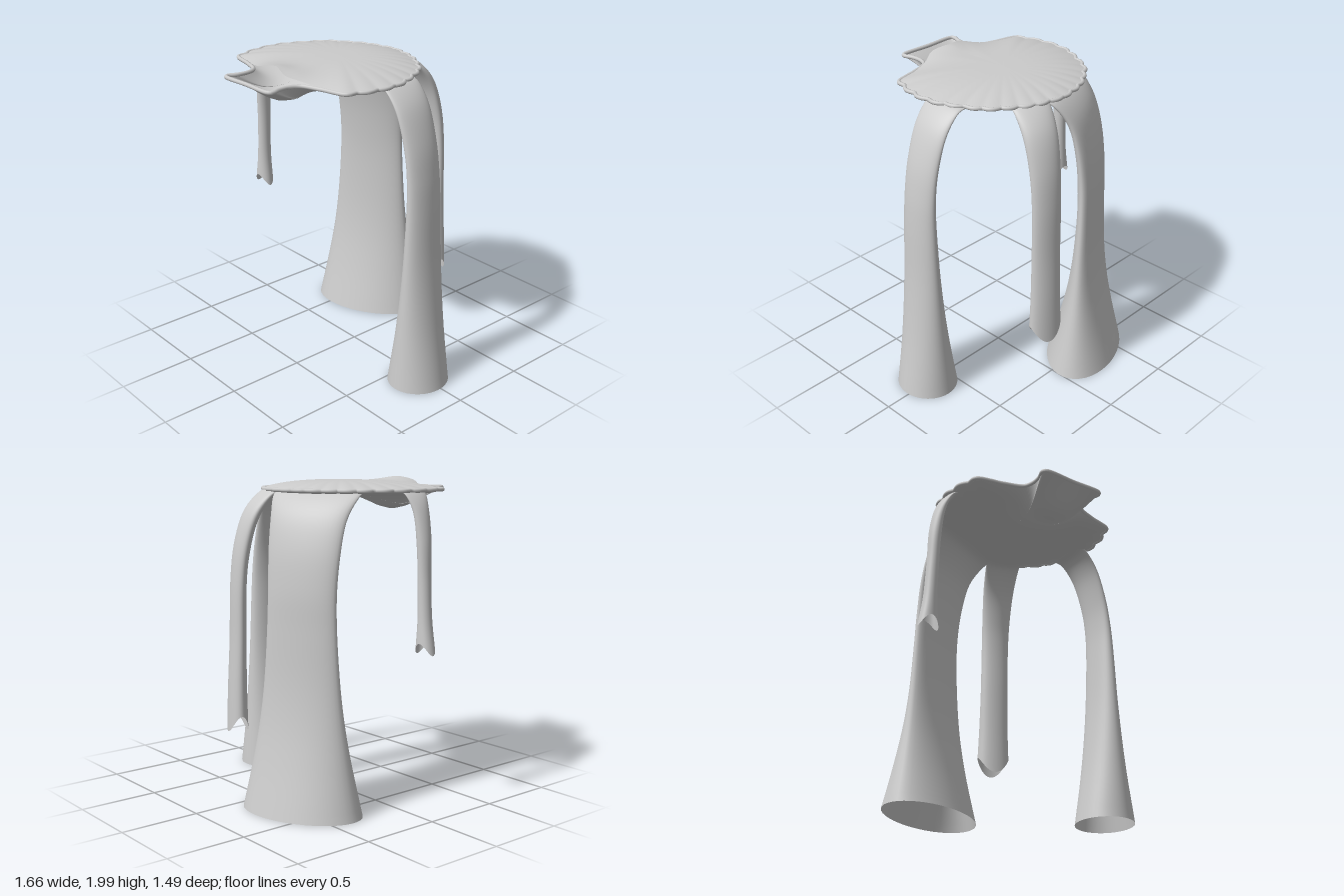
import * as THREE from 'three';

const material = new THREE.MeshStandardMaterial({ color: 0xcccccc, side: THREE.DoubleSide });
const CX = -0.1, CZ = 0.05; // centre of the basin

// Skin a list of closed rings (arrays of Vector3 of equal length)
function loft(name, rings) {
  const n = rings[0].length, index = [];
  for (let r = 0; r < rings.length - 1; r++) {
    for (let i = 0; i < n; i++) {
      const j = (i + 1) % n, a = r * n + i, b = r * n + j;
      index.push(a, a + n, b, b, a + n, b + n);
    }
  }
  const geometry = new THREE.BufferGeometry().setFromPoints(rings.flat());
  geometry.setIndex(index);
  geometry.computeVertexNormals();
  const mesh = new THREE.Mesh(geometry, material);
  mesh.name = name;
  return mesh;
}

// Mirrored plan outline with a scalloped edge, from half-outline points [x, z]
function outline(half) {
  const curve = new THREE.CatmullRomCurve3(half.map(([x, z]) => new THREE.Vector3(x, 0, z)));
  const side = curve.getSpacedPoints(120).map((p) => {
    const angle = Math.atan2(p.x, CZ - p.z);
    const fade = 1 - THREE.MathUtils.smoothstep(p.z, 0.4, 0.47);
    const k = 1 + fade * (0.035 * Math.abs(Math.sin(angle * 15)) - 0.015);
    return new THREE.Vector3(p.x * k, 0, CZ + (p.z - CZ) * k);
  });
  const other = side.slice(1, -1).reverse().map((p) => new THREE.Vector3(-p.x, 0, p.z));
  return [...side, ...other];
}

// Radial sheet filling an outline; height(x, z, t) with t = 0 centre, 1 edge
function sheet(name, edge, height) {
  const rings = [];
  for (let r = 0; r <= 14; r++) {
    const t = Math.max(0.001, Math.sin((r / 14) * Math.PI / 2));
    rings.push(edge.map((p) => {
      const x = p.x * t, z = CZ + (p.z - CZ) * t;
      return new THREE.Vector3(x + CX, height(x, z, t), z);
    }));
  }
  return loft(name, rings);
}

// Hollow stream; rows are [outer distance, outer y, inner distance, inner y, half width]
function stream(name, [ox, oz], [dx, dz], rows, notch = 0) {
  const outer = new THREE.CatmullRomCurve3(rows.map((r) => new THREE.Vector3(r[0], r[1], r[4])), false, 'catmullrom');
  const inner = new THREE.CatmullRomCurve3(rows.map((r) => new THREE.Vector3(r[2], r[3], r[4])), false, 'catmullrom');
  const endY = rows[rows.length - 1][1];
  const rings = [];
  for (let s = 0; s <= 48; s++) {
    const o = outer.getPoint(s / 48), i = inner.getPoint(s / 48), ring = [];
    for (let k = 0; k < 40; k++) {
      const angle = (k / 40) * Math.PI * 2, c = Math.cos(angle), w = Math.sin(angle) * o.z;
      const d = (o.x + i.x) / 2 + c * (o.x - i.x) / 2;
      let y = (o.y + i.y) / 2 + c * (o.y - i.y) / 2;
      // torn end: the two sides are cut higher than the faces
      y += notch * Math.sin(angle) ** 2 * Math.max(0, 1 - (y - endY) / 0.3);
      ring.push(new THREE.Vector3(ox + dx * d - dz * w, y, oz + dz * d + dx * w));
    }
    rings.push(ring);
  }
  return loft(name, rings);
}

export function createModel() {
  const group = new THREE.Group();
  group.name = 'fountain';

  // Basin plan: shared rim, then either the spout or the roof's front lip
  const rim = [[0, -0.43], [0.2, -0.38], [0.32, -0.31], [0.43, -0.22], [0.5, -0.1], [0.55, 0],
    [0.575, 0.12], [0.57, 0.24], [0.55, 0.32], [0.5, 0.43]];
  const basinEdge = outline([...rim, [0.36, 0.47], [0.23, 0.52], [0.2, 0.58], [0.2, 0.65],
    [0.22, 0.715], [0.205, 0.735], [0, 0.735]]);
  const roofEdge = outline([...rim, [0.36, 0.465], [0.23, 0.505], [0.13, 0.555], [0.06, 0.54], [0, 0.52]]);

  // Shallow dish that deepens under the spout
  group.add(sheet('basin', basinEdge, (x, z, t) => {
    const bowl = 0.11 * Math.exp(-((x / 0.22) ** 2) - ((z - 0.5) / 0.2) ** 2);
    return 1.92 - (1 - t ** 8) * (0.03 + bowl);
  }));

  // Gently domed cover, raised at the mouth
  group.add(sheet('cover', roofEdge, (x, z, t) => {
    const lip = 0.065 * Math.exp(-((x / 0.2) ** 2)) * THREE.MathUtils.smoothstep(z, 0.25, 0.5);
    return 1.928 + 0.05 * (1 - t ** 3) + lip * t ** 3;
  }));

  // Rounded rim
  const rimPath = new THREE.CatmullRomCurve3(
    basinEdge.map((p) => new THREE.Vector3(p.x + CX, 1.923, p.z)), true);
  const rimMesh = new THREE.Mesh(new THREE.TubeGeometry(rimPath, 360, 0.013, 8, true), material);
  rimMesh.name = 'rim';
  group.add(rimMesh);

  // Wide stream at the back right
  group.add(stream('wideStream', [-0.36, -0.47], [-0.42, -0.908], [
    [-0.3, 1.935, -0.3, 1.9, 0.29], [-0.17, 1.92, -0.21, 1.86, 0.285], [-0.05, 1.8, -0.13, 1.72, 0.25],
    [0.02, 1.6, -0.09, 1.54, 0.235], [0.055, 1.35, -0.07, 1.33, 0.225], [0.065, 1.1, -0.065, 1.1, 0.23],
    [0.08, 0.8, -0.08, 0.8, 0.25], [0.11, 0.55, -0.11, 0.55, 0.28], [0.16, 0.3, -0.16, 0.3, 0.325],
    [0.235, 0, -0.235, 0, 0.388]]));

  // Stream on the left reaching the ground
  group.add(stream('sideStream', [0, 0.02], [1, 0], [
    [0.36, 1.935, 0.36, 1.895, 0.14], [0.46, 1.915, 0.44, 1.87, 0.135], [0.57, 1.8, 0.52, 1.74, 0.13],
    [0.65, 1.6, 0.57, 1.55, 0.125], [0.69, 1.4, 0.59, 1.38, 0.125], [0.71, 1.18, 0.59, 1.18, 0.13],
    [0.73, 0.8, 0.57, 0.8, 0.145], [0.77, 0.4, 0.523, 0.4, 0.168], [0.83, 0, 0.455, 0, 0.2]]));

  // Hanging stream at the back
  group.add(stream('backStream', [0.17, -0.57], [0.32, -0.947], [
    [-0.3, 1.935, -0.3, 1.9, 0.125], [-0.19, 1.92, -0.22, 1.87, 0.12], [-0.07, 1.8, -0.13, 1.72, 0.11],
    [0, 1.6, -0.08, 1.52, 0.1], [0.03, 1.35, -0.06, 1.32, 0.095], [0.04, 1, -0.055, 1, 0.095],
    [0.055, 0.7, -0.055, 0.7, 0.1], [0.065, 0.41, -0.06, 0.41, 0.107]], 0.11));

  // Short hanging stream on the right
  group.add(stream('shortStream', [0, 0.15], [-1, 0], [
    [0.6, 1.935, 0.6, 1.9, 0.1], [0.67, 1.92, 0.66, 1.885, 0.085], [0.74, 1.82, 0.695, 1.77, 0.06],
    [0.78, 1.64, 0.71, 1.58, 0.05], [0.79, 1.4, 0.715, 1.38, 0.043], [0.805, 1.15, 0.717, 1.15, 0.044],
    [0.835, 0.95, 0.702, 0.95, 0.05]], 0.07));

  return group;
}
